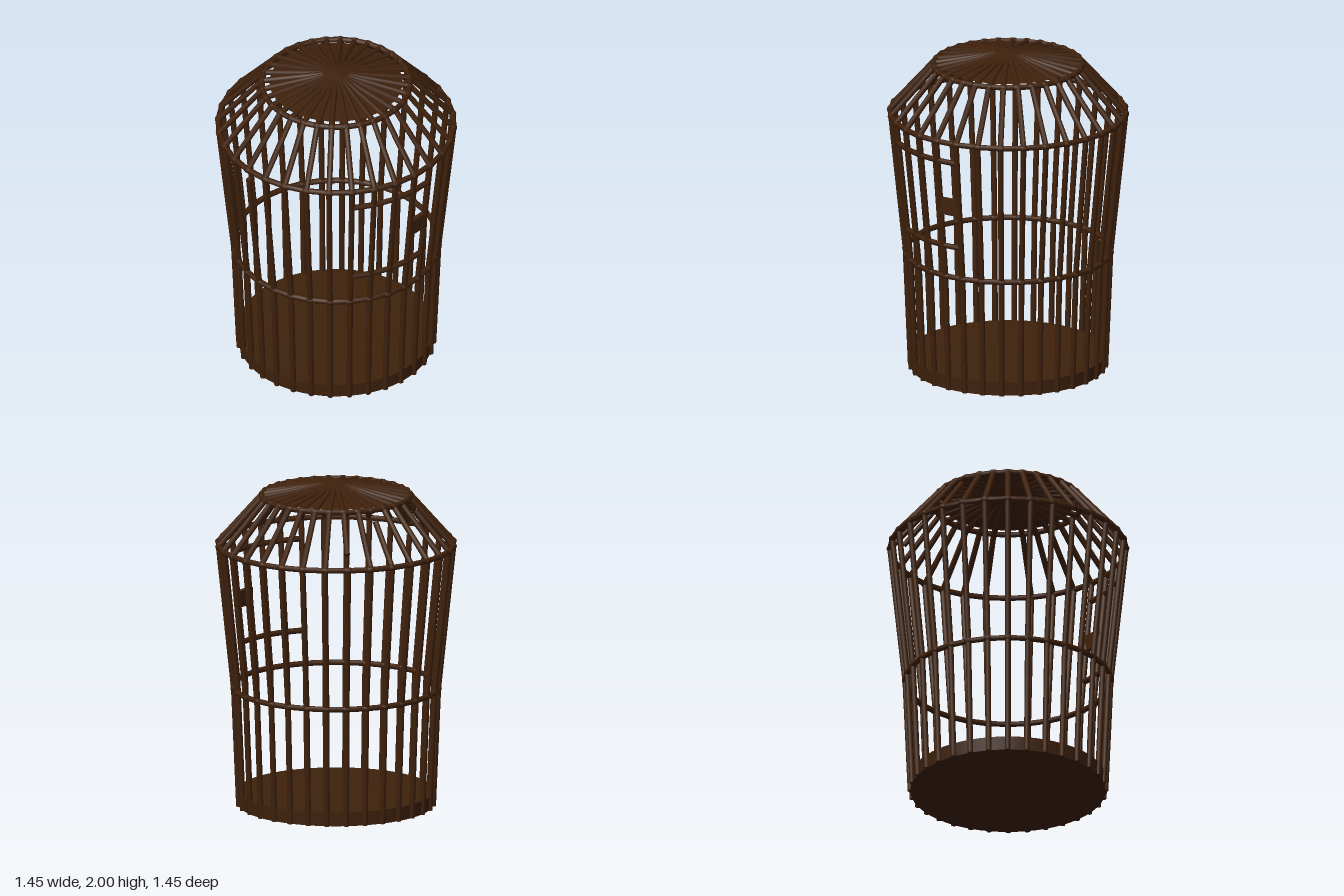
import * as THREE from 'three';
import { mergeGeometries } from 'three/addons/utils/BufferGeometryUtils.js';

const COUNT = 32;
const STEP = (Math.PI * 2) / COUNT;
const BAR = 0.0172;
// cage profile as [radius, height], from floor to crown
const PROFILE = [[0.584, 0.005], [0.615, 0.73], [0.706, 1.605], [0.444, 1.902], [0, 1.98]];

// point on the cage; angle runs from +x towards +z
const at = (r, y, a) => new THREE.Vector3(r * Math.cos(a), y, r * Math.sin(a));

// radius of the cage wall at a height
function wallRadius(y) {
  const i = y < PROFILE[1][1] ? 0 : 1;
  const [r0, y0] = PROFILE[i], [r1, y1] = PROFILE[i + 1];
  return r0 + ((r1 - r0) * (y - y0)) / (y1 - y0);
}

// round rod between two points
function rod(a, b) {
  const dir = b.clone().sub(a);
  const g = new THREE.CylinderGeometry(BAR, BAR, dir.length(), 8);
  g.applyQuaternion(new THREE.Quaternion().setFromUnitVectors(new THREE.Vector3(0, 1, 0), dir.normalize()));
  const mid = a.clone().add(b).multiplyScalar(0.5);
  return g.translate(mid.x, mid.y, mid.z);
}

export function createModel() {
  const group = new THREE.Group();
  const brown = new THREE.MeshStandardMaterial({ color: 0x3f210c, side: THREE.DoubleSide });
  brown.name = 'darkBrown';
  const add = (name, geometry) => {
    const mesh = new THREE.Mesh(geometry, brown);
    mesh.name = name;
    group.add(mesh);
  };

  // solid floor
  add('floor', new THREE.CylinderGeometry(0.588, 0.584, 0.085, 64).translate(0, 0.0475, 0));

  // upright, dome and crown bars
  const names = ['lowerBars', 'upperBars', 'domeBars', 'crownBars'];
  names.forEach((name, s) => {
    const [r0, y0] = PROFILE[s], [r1, y1] = PROFILE[s + 1];
    const rods = [];
    for (let i = 0; i < COUNT; i++) {
      const a = i * STEP;
      const start = at(r0, y0, a), end = at(r1, y1, a);
      // broken bars: one upright at the front, three in the dome
      if (s === 1 && i === 8) end.lerp(start, 0.085);
      if (s === 2 && (i === 14 || i === 18)) end.lerp(start, 0.2);
      if (s === 2 && i === 20) start.lerp(end, 0.27);
      rods.push(rod(start, end));
    }
    add(name, mergeGeometries(rods));
  });

  // hoops with a flared joint at every bar
  ['middleHoop', 'shoulderHoop', 'crownHoop'].forEach((name, k) => {
    const [r, y] = PROFILE[k + 1];
    const parts = [new THREE.TorusGeometry(r, BAR, 8, COUNT).rotateX(Math.PI / 2).translate(0, y, 0)];
    for (let i = 0; i < COUNT; i++) {
      const p = at(r, y, i * STEP);
      parts.push(new THREE.SphereGeometry(0.021, 10, 6).scale(1, 1, 1.6).rotateY(-i * STEP).translate(p.x, p.y, p.z));
    }
    add(name, mergeGeometries(parts));
  });

  // thin crown sheet between the bars, and centre boss
  add('crownSheet', new THREE.ConeGeometry(0.4, 0.07, COUNT, 1, true).translate(0, 1.945, 0));
  add('crownBoss', new THREE.ConeGeometry(0.08, 0.018, 32).translate(0, 1.991, 0));

  // door rails follow the wall across four bays on the +x side
  for (const [name, y] of [['doorTopRail', 1.48], ['doorBottomRail', 0.93]]) {
    const r = wallRadius(y), rods = [];
    for (let i = -1; i < 3; i++) rods.push(rod(at(r, y, i * STEP), at(r, y, (i + 1) * STEP)));
    add(name, mergeGeometries(rods));
  }

  // latch plate filling one bay
  const a = -STEP / 2, c = at(wallRadius(1.19) * Math.cos(a), 1.19, a);
  add('latchPlate', new THREE.BoxGeometry(0.03, 0.1, 0.145).rotateY(-a).translate(c.x, c.y, c.z));

  return group;
}
